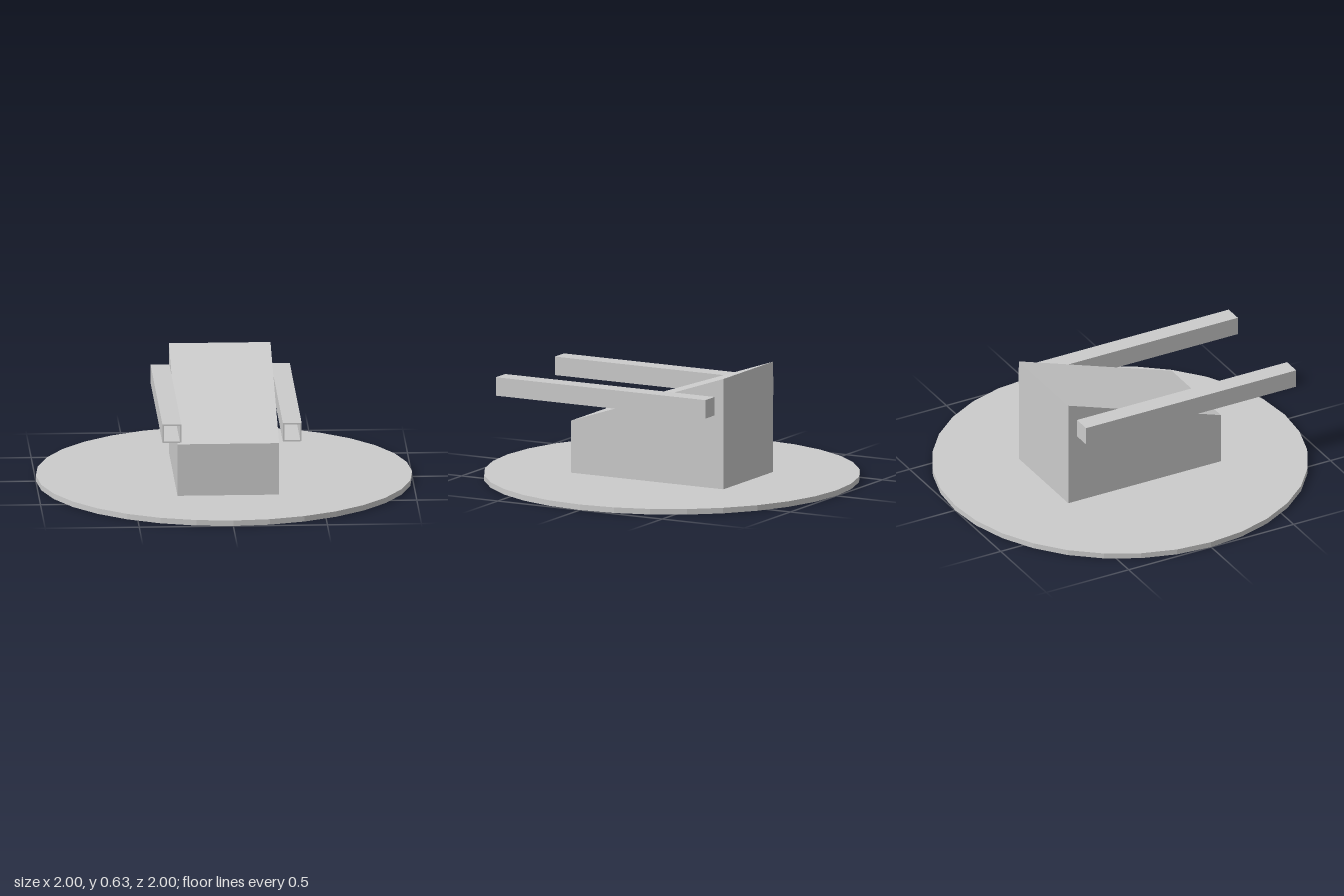
import * as THREE from 'three';

const material = new THREE.MeshStandardMaterial({ color: 0xcccccc, flatShading: true });

function addMesh(parent, name, geometry) {
  const mesh = new THREE.Mesh(geometry, material);
  mesh.name = name;
  parent.add(mesh);
  return mesh;
}

// Closed polygon from [x, y] corners
const polygon = (points, Type = THREE.Shape) =>
  new Type(points.map(([x, y]) => new THREE.Vector2(x, y)));

const square = (half, Type) =>
  polygon([[-half, -half], [half, -half], [half, half], [-half, half]], Type);

export function createModel() {
  const model = new THREE.Group();
  model.name = 'model';

  // Thin round base plate
  const baseHeight = 0.03;
  addMesh(model, 'basePlate', new THREE.CylinderGeometry(1, 1, baseHeight, 32))
    .position.y = baseHeight / 2;

  // Wedge body: side profile (z, y) extruded across the width
  const width = 0.54;
  const profile = polygon([[-0.463, baseHeight], [0.463, baseHeight], [0.463, 0.312], [-0.463, 0.627]]);
  const wedge = new THREE.ExtrudeGeometry(profile, { depth: width, bevelEnabled: false });
  wedge.translate(0, 0, -width / 2).rotateY(-Math.PI / 2);
  // the turn maps profile x to +z
  addMesh(model, 'wedgeBody', wedge);

  // Square side tubes, open at the front and closed at the back
  const outer = 0.05, wall = 0.008, back = -0.41, front = 0.864;
  const section = square(outer);
  section.holes.push(square(outer - wall, THREE.Path));
  for (const side of [1, -1]) {
    const tube = new THREE.Group();
    tube.name = side > 0 ? 'leftTube' : 'rightTube';
    tube.position.set(side * (width / 2 + outer), 0.475, back);
    addMesh(tube, 'tubeWalls', new THREE.ExtrudeGeometry(section, {
      depth: front - back - wall, bevelEnabled: false,
    })).position.z = wall;
    addMesh(tube, 'tubeEnd', new THREE.BoxGeometry(outer * 2, outer * 2, wall))
      .position.z = wall / 2;
    model.add(tube);
  }

  return model;
}
